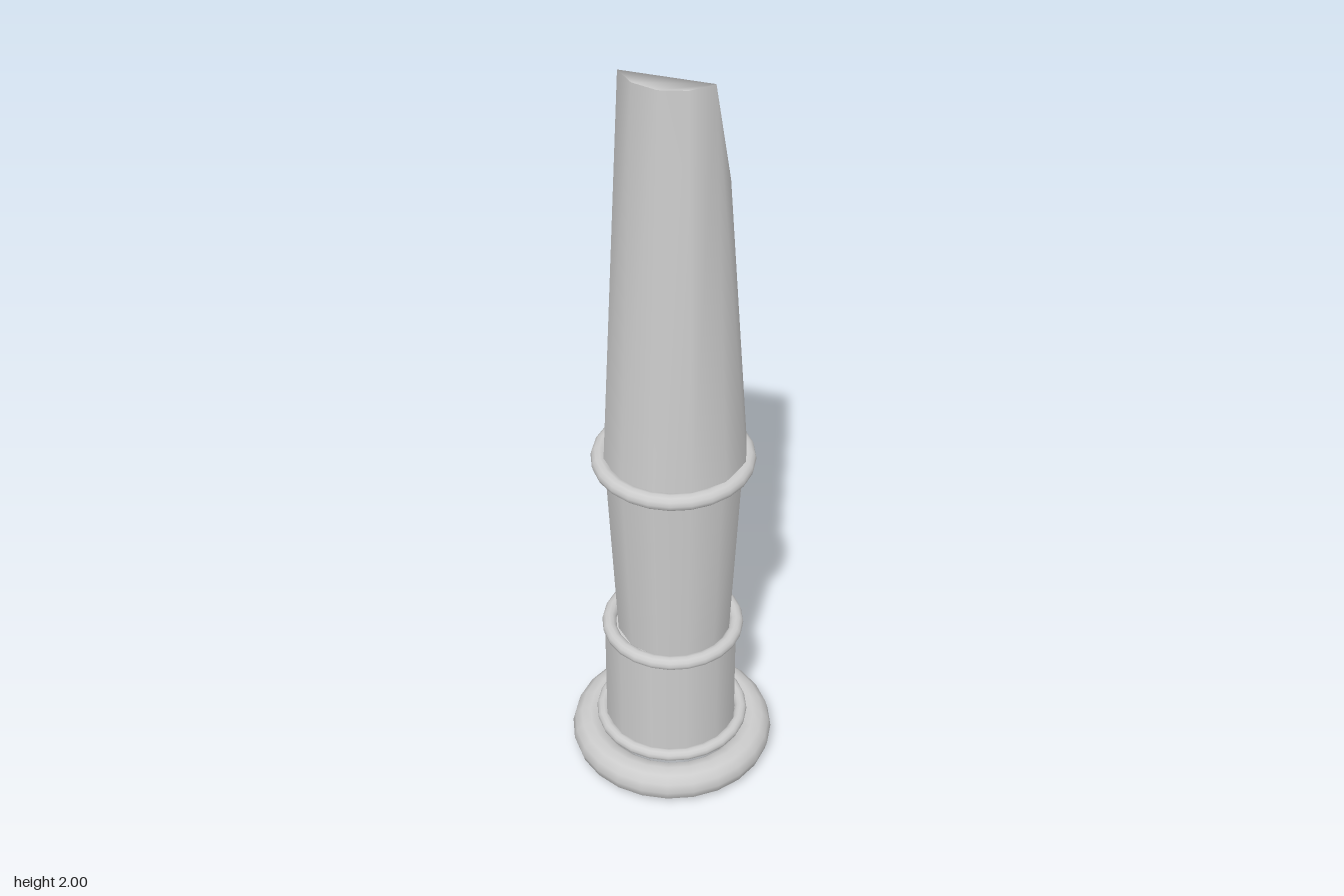
import * as THREE from 'three';

const material = new THREE.MeshStandardMaterial({ color: 0xcccccc });
const SIDES = 12;

function addMesh(group, name, geometry, x = 0, y = 0, z = 0) {
  const mesh = new THREE.Mesh(geometry, material);
  mesh.name = name;
  mesh.position.set(x, y, z);
  group.add(mesh);
}

// Horizontal ring around the column
function addRing(group, name, y, radius, tube, x = 0, z = 0) {
  const geometry = new THREE.TorusGeometry(radius, tube, 12, 24).rotateX(Math.PI / 2);
  addMesh(group, name, geometry, x, y, z);
}

// Twelve-sided drum between two heights
function addDrum(group, name, y0, r0, y1, r1, x, z) {
  const geometry = new THREE.CylinderGeometry(r1, r0, y1 - y0, SIDES);
  addMesh(group, name, geometry, x, (y0 + y1) / 2, z);
}

// Corner i of a twelve-sided ring, turning from +x towards +z
function corner(i, r, y, x, z) {
  const a = (i * Math.PI * 2) / SIDES;
  return [x + r * Math.cos(a), y, z + r * Math.sin(a)];
}

function indexed(points, faces) {
  const geometry = new THREE.BufferGeometry();
  geometry.setAttribute('position', new THREE.Float32BufferAttribute(points.flat(), 3));
  geometry.setIndex(faces.flat());
  geometry.computeVertexNormals();
  return geometry;
}

// Tapered shaft whose rim drops from the front right to the back left
function addBrokenShaft(group) {
  const bottom = [], rim = [];
  for (let i = 0; i < SIDES; i++) {
    const high = i >= 1 && i <= 6;
    bottom.push(corner(i, 0.179, 0.95, 0.009, 0.002));
    // corner 1 is merged into corner 2
    rim.push(corner(i === 1 ? 2 : i, 0.1275, high ? 2 : 1.7, 0.0075, 0.0025));
  }

  const walls = [];
  for (let i = 0; i < SIDES; i++) {
    const j = (i + 1) % SIDES;
    const top = k => SIDES + (k === 1 ? 2 : k);
    walls.push([i, top(i), j]);
    if (top(i) !== top(j)) walls.push([j, top(i), top(j)]);
  }
  addMesh(group, 'upperShaft', indexed([...bottom, ...rim], walls));

  // Break: high ledge, steep slope with a side fold, low ledge
  const cap = [[0, 6, 2], [0, 8, 6], [6, 8, 7]];
  for (let i = 3; i < 6; i++) cap.push([2, i + 1, i]);
  for (let i = 8; i < 11; i++) cap.push([0, i + 1, i]);
  addMesh(group, 'brokenTop', indexed(rim, cap));
}

export function createModel() {
  const group = new THREE.Group();
  group.name = 'brokenColumn';

  // Foot
  addRing(group, 'baseRing', 0.0475, 0.217, 0.0475);
  addRing(group, 'footRing', 0.108, 0.183, 0.016);

  // Column
  addDrum(group, 'lowerDrum', 0.09, 0.173, 0.415, 0.173, -0.003, 0.005);
  addRing(group, 'lowerRing', 0.415, 0.164, 0.018, 0.002, 0.002);
  addDrum(group, 'middleDrum', 0.41, 0.146, 0.95, 0.173, 0.006, 0.002);
  addRing(group, 'upperRing', 0.948, 0.181, 0.021, 0.003, 0.004);
  addBrokenShaft(group);

  return group;
}
